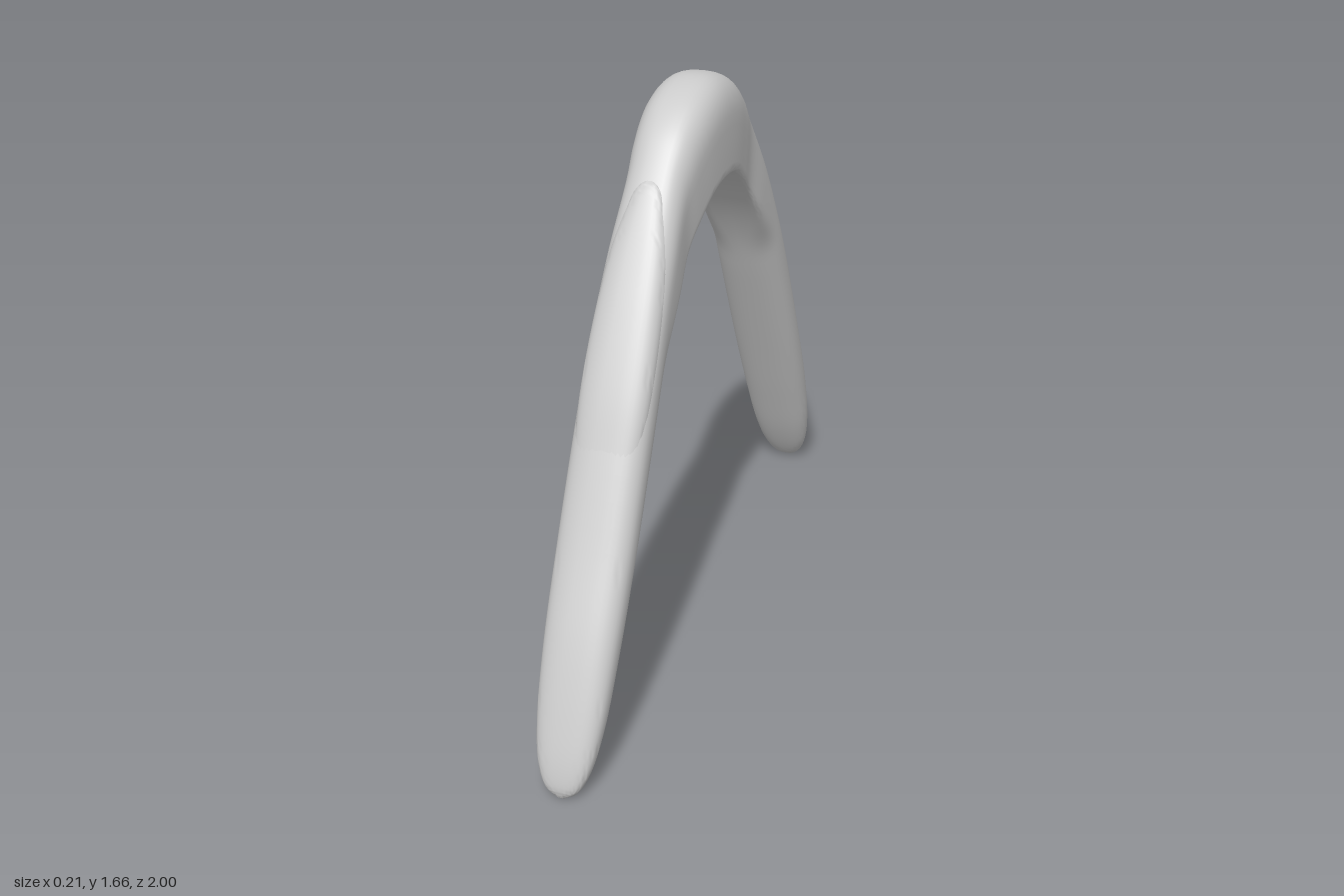
import * as THREE from 'three';
import { toCreasedNormals } from 'three/addons/utils/BufferGeometryUtils.js';

const spow = (v, e) => Math.sign(v) * Math.pow(Math.abs(v), e);

// Loft along z. Station: [outer z, outer y, inner z, inner y, half width]
function loft(stations, steps, innerPower) {
  const sides = 40;
  const outer = new THREE.CatmullRomCurve3(stations.map(s => new THREE.Vector3(s[4], s[1], s[0])));
  const inner = new THREE.CatmullRomCurve3(stations.map(s => new THREE.Vector3(s[4], s[3], s[2])));
  const pos = [], index = [];
  for (let i = 0; i <= steps; i++) {
    const o = outer.getPoint(i / steps), n = inner.getPoint(i / steps);
    const mid = o.clone().add(n).multiplyScalar(0.5);
    const w = Math.max(o.x, 0.002), power = innerPower(Math.abs(o.z));
    for (let j = 0; j < sides; j++) {
      const a = (j / sides) * Math.PI * 2, s = Math.sin(a);
      const e = 2 / (s < -1e-6 ? power : 2.6);
      const x = w * spow(Math.cos(a), e), k = spow(s, e);
      pos.push(x, mid.y + (o.y - mid.y) * k, mid.z + (o.z - mid.z) * k);
      if (i < steps) {
        const p = i * sides + j, q = i * sides + (j + 1) % sides;
        index.push(p, q, p + sides, q, q + sides, p + sides);
      }
    }
  }
  // Close both ends
  for (let j = 1; j < sides - 1; j++) {
    const b = steps * sides;
    index.push(0, j + 1, j, b, b + j, b + j + 1);
  }
  const geo = new THREE.BufferGeometry();
  geo.setAttribute('position', new THREE.Float32BufferAttribute(pos, 3));
  geo.setIndex(index);
  return toCreasedNormals(geo, 0.65);
}

export function createModel() {
  const group = new THREE.Group();
  group.name = 'boomerang';
  const material = new THREE.MeshStandardMaterial({ color: 0xcccccc });
  const add = (name, geo) => {
    const mesh = new THREE.Mesh(geo, material);
    mesh.name = name;
    group.add(mesh);
  };

  // Half of the body, from the middle of the elbow to the arm tip
  const half = [
    [0, 1.66, 0, 1.38, 0.107],
    [0.12, 1.635, 0.09, 1.365, 0.104],
    [0.21, 1.58, 0.18, 1.31, 0.095],
    [0.28, 1.505, 0.25, 1.25, 0.087],
    [0.4, 1.34, 0.33, 1.155, 0.094],
    [0.5, 1.175, 0.41, 1.035, 0.099],
    [0.6, 0.99, 0.5, 0.865, 0.103],
    [0.77, 0.63, 0.66, 0.555, 0.105],
    [0.88, 0.4, 0.78, 0.32, 0.101],
    [0.955, 0.21, 0.87, 0.15, 0.09],
    [0.99, 0.1, 0.93, 0.055, 0.07],
    [1.0, 0.04, 0.965, 0.012, 0.042],
    [0.995, 0.012, 0.985, 0.003, 0.008],
  ];
  const mirrored = half.slice(1).reverse().map(([a, b, c, d, w]) => [-a, b, -c, d, w]);
  // Flat, sharp-edged inside at the elbow, rounded along the arms
  add('body', loft([...mirrored, ...half], 144,
    z => THREE.MathUtils.lerp(14, 2.4, THREE.MathUtils.smoothstep(z, 0.25, 0.55))));

  // Slightly raised tongue where the front arm overlaps the elbow
  add('frontArmOverlap', loft([
    [0.3, 1.472, 0.29, 1.46, 0.01],
    [0.325, 1.455, 0.29, 1.39, 0.042],
    [0.36, 1.41, 0.3, 1.32, 0.062],
    [0.42, 1.32, 0.35, 1.23, 0.081],
    [0.51, 1.17, 0.43, 1.09, 0.093],
    [0.605, 0.99, 0.52, 0.93, 0.097],
    [0.68, 0.82, 0.6, 0.77, 0.09],
  ], 48, () => 2.2));

  return group;
}
